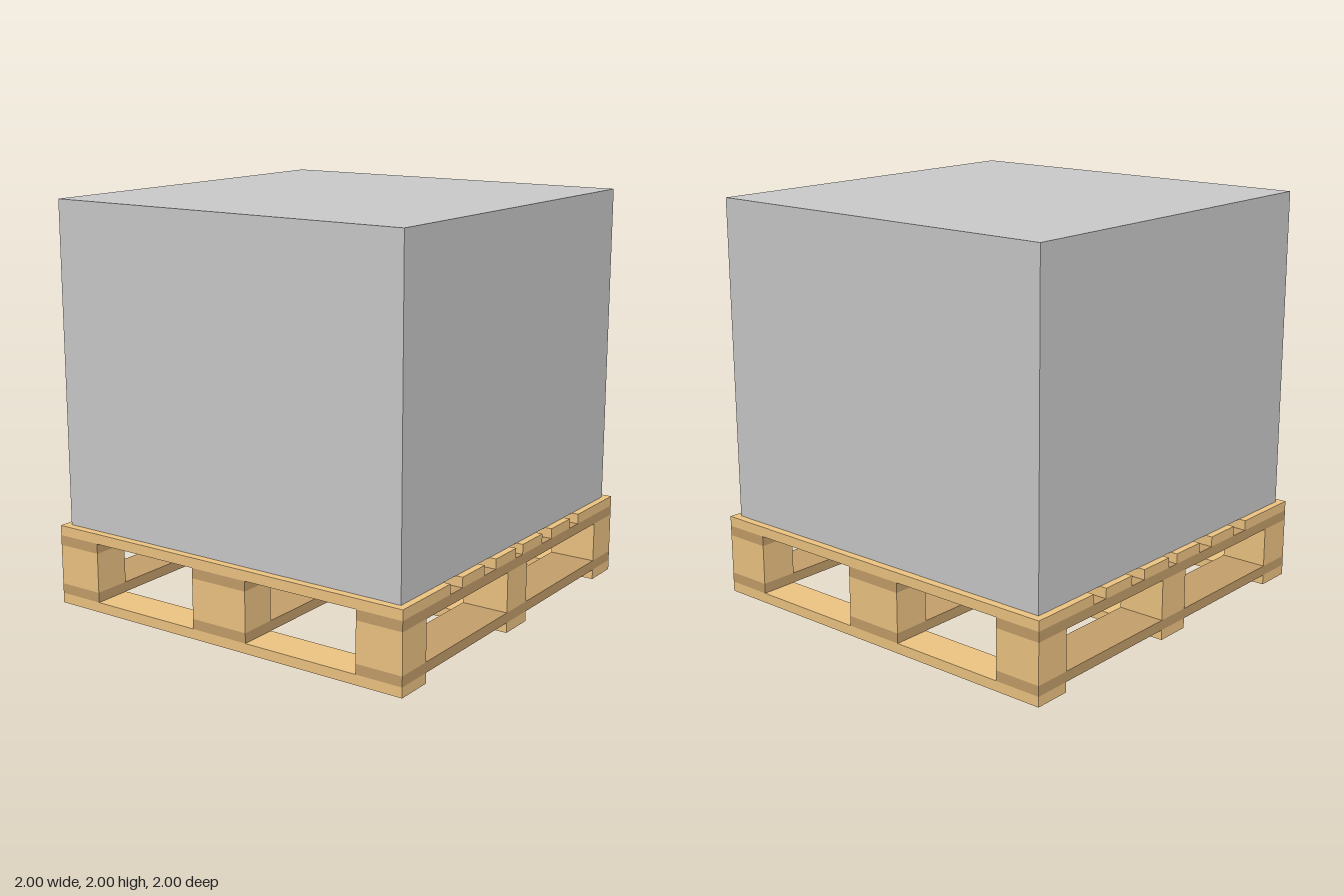
import * as THREE from 'three';

export function createModel() {
  const model = new THREE.Group();
  const lightWood = new THREE.MeshStandardMaterial({ color: 0xf0c684 });
  const darkWood = new THREE.MeshStandardMaterial({ color: 0xc6a06b });
  const grey = new THREE.MeshStandardMaterial({ color: 0xcccccc });

  // Box spanning [min, max] on each axis
  function slab(parent, name, material, [x0, x1], [y0, y1], [z0, z1]) {
    const mesh = new THREE.Mesh(new THREE.BoxGeometry(x1 - x0, y1 - y0, z1 - z0), material);
    mesh.position.set((x0 + x1) / 2, (y0 + y1) / 2, (z0 + z1) / 2);
    mesh.name = name;
    parent.add(mesh);
  }

  const pallet = new THREE.Group();
  pallet.name = 'pallet';
  model.add(pallet);

  const full = [-1, 1];
  const columns = [[-1, -0.76], [-0.16, 0.15], [0.76, 1]];
  const rows = [[-1, -0.81], [-0.09, 0.095], [0.81, 1]];

  // Bottom boards run left to right
  rows.forEach((z) => slab(pallet, 'bottomBoard', lightWood, full, [0, 0.05], z));

  // Lower and upper stringers run front to back, with blocks between them
  columns.forEach((x, i) => {
    slab(pallet, 'lowerStringer', darkWood, x, [0.05, 0.1], full);
    slab(pallet, 'upperStringer', darkWood, x, [0.3, 0.35], full);
    rows.forEach((z, j) => {
      // The inner middle block sits slightly proud of its stringers
      const blockX = i === 1 && j === 1 ? [-0.155, 0.155] : x;
      slab(pallet, 'block', lightWood, blockX, [0.1, 0.3], z);
    });
  });

  // Deck boards: wide outer ones, four narrower ones between
  [[-1, -0.62], [-0.53, -0.335], [-0.24, -0.045], [0.02, 0.21], [0.315, 0.51], [0.615, 1]]
    .forEach((z) => slab(pallet, 'deckBoard', lightWood, full, [0.35, 0.4], z));

  // Cargo box on the deck
  slab(model, 'cargoBox', grey, [-0.965, 0.965], [0.4, 2], [-0.96, 0.96]);

  return model;
}
